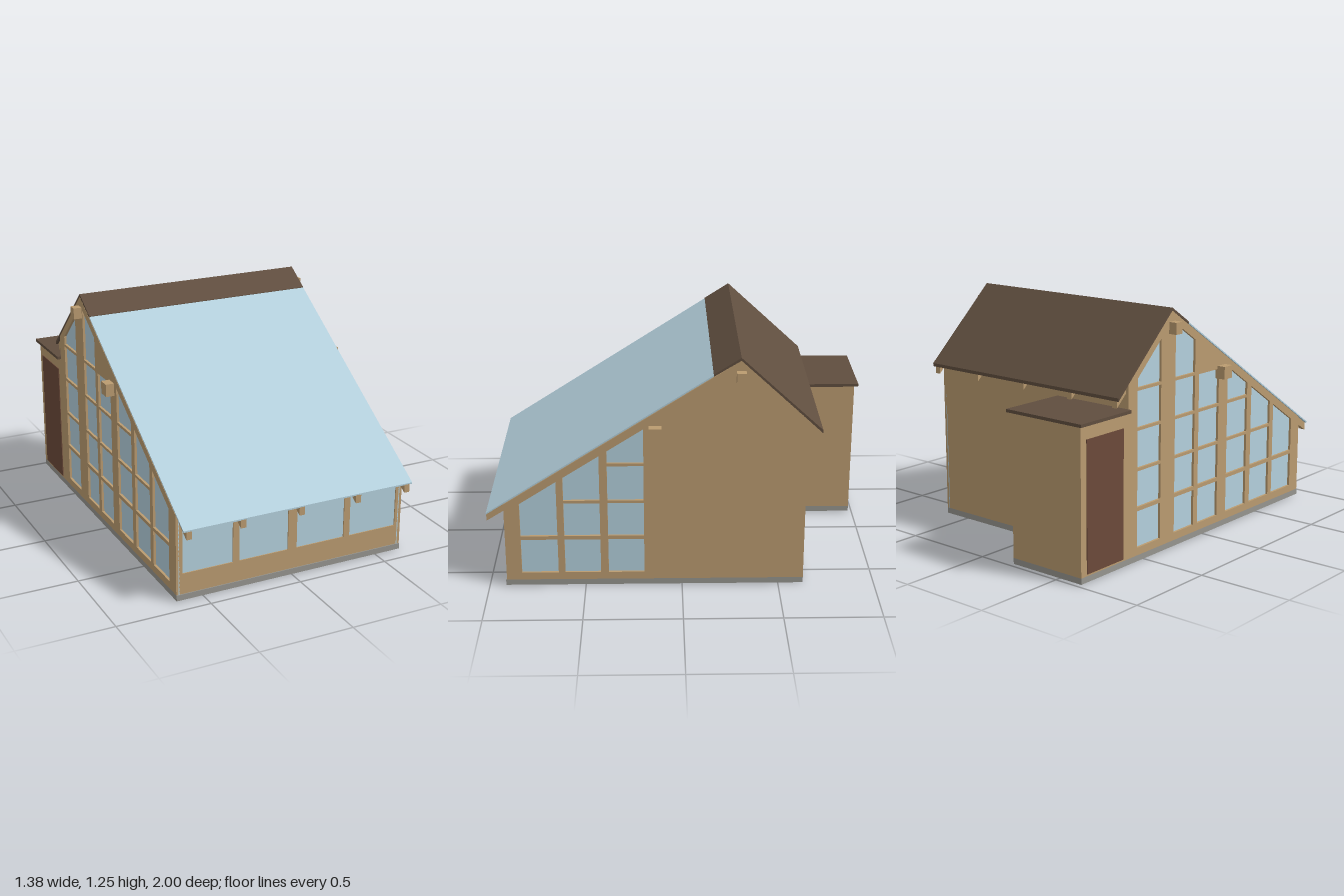
import * as THREE from 'three';

const mat = (name, color) => {
  const m = new THREE.MeshStandardMaterial({ color });
  m.name = name;
  return m;
};

export function createModel() {
  const wood = mat('timber', 0xba9b70);
  const glass = mat('glass', 0xb4d0dd);
  const brown = mat('roof brown', 0x604e3f);
  const stone = mat('stone', 0x96958f);
  const doorMat = mat('door brown', 0x6c4a3a);
  const model = new THREE.Group();
  model.name = 'greenhouse';

  const add = (name, geo, material) => {
    const m = new THREE.Mesh(geo, material);
    m.name = name;
    model.add(m);
    return m;
  };
  // box given by its limits
  const box = (name, material, x0, x1, y0, y1, z0, z1) => {
    const g = new THREE.BoxGeometry(x1 - x0, y1 - y0, z1 - z0);
    g.translate((x0 + x1) / 2, (y0 + y1) / 2, (z0 + z1) / 2);
    return add(name, g, material);
  };
  const toShape = (pts, holes = []) => {
    const s = new THREE.Shape(pts.map(p => new THREE.Vector2(...p)));
    for (const h of holes) s.holes.push(new THREE.Path(h.map(p => new THREE.Vector2(...p))));
    return s;
  };
  // (z, y) outline pushed along x
  const prism = (name, material, pts, x0, x1, holes) => {
    const g = new THREE.ExtrudeGeometry(toShape(pts, holes), { depth: x1 - x0, bevelEnabled: false });
    g.rotateY(-Math.PI / 2);
    g.translate(x1, 0, 0);
    return add(name, g, material);
  };

  // roof lines
  const ridgeZ = -0.29, ridgeY = 1.245, W = 0.645, base = 0.035;
  const roofY = z => z > ridgeZ ? ridgeY - (z - ridgeZ) * 0.64 : ridgeY - (ridgeZ - z) * 0.927;
  const at = (z, drop) => [z, roofY(z) - drop];

  // foundation
  box('foundationMain', stone, -W, W, 0.004, base, -0.63, 0.915);
  box('foundationAnnex', stone, -W, -0.2, 0.004, base, -0.98, -0.63);

  // gables with window openings; columns are [z0, z1]
  const rows = [[0.075, 0.265], [0.285, 0.47], [0.485, 0.675], [0.69, 0.875], [0.89, 1.08]];
  const panes = cols => {
    const out = [];
    for (const [z0, z1] of cols) {
      for (const [y0, y1] of rows) {
        const t0 = Math.min(y1, roofY(z0) - 0.06), t1 = Math.min(y1, roofY(z1) - 0.06);
        if (Math.min(t0, t1) < y0 + 0.04) continue;
        // a sloping pane runs on to the roof line
        const last = roofY(z0) - 0.06 < y1 || roofY(z1) - 0.06 < y1;
        out.push(last
          ? [[z0, y0], [z1, y0], [z1, roofY(z1) - 0.06], [z0, roofY(z0) - 0.06]]
          : [[z0, y0], [z1, y0], [z1, t1], [z0, t0]]);
      }
    }
    return out;
  };
  const frontCols = [[0.195, 0.38], [0.42, 0.605], [0.64, 0.83]];
  const backCols = [[-0.56, -0.375], [-0.26, -0.095], [-0.06, 0.115]];
  const outline = d => [[-0.63, base], [0.91, base], at(0.91, d), at(ridgeZ, d), at(-0.63, d)];
  prism('rightGable', wood, outline(0.012), W - 0.03, W, panes(frontCols));
  prism('leftGable', wood, outline(0.012), -W, -W + 0.03, panes([...frontCols, ...backCols]));
  for (const s of [-1, 1]) {
    const x = s * (W - 0.016);
    prism('gableGlass', glass, outline(0.03), x - 0.003, x + 0.003);
  }

  // front wall with four windows
  const openings = [[-0.61, -0.335], [-0.3, -0.025], [0.025, 0.3], [0.335, 0.61]].map(
    ([a, b]) => [[a, 0.145], [b, 0.145], [b, 0.4], [a, 0.4]]);
  const wall = new THREE.ExtrudeGeometry(
    toShape([[-W, base], [W, base], [W, 0.455], [-W, 0.455]], openings),
    { depth: 0.03, bevelEnabled: false });
  wall.translate(0, 0, 0.88);
  add('frontWall', wall, wood);
  box('frontGlass', glass, -0.62, 0.62, 0.13, 0.41, 0.898, 0.904);

  // back wall
  box('backWall', wood, -W, W, base, 0.905, -0.63, -0.6);

  // rafters with tails beyond both eaves
  for (const x of [-0.615, -0.325, 0, 0.325, 0.615]) {
    prism('rafter', wood, [at(1, 0.05), at(1, 0.006), at(ridgeZ, 0.008), at(-0.7, 0.012),
      at(-0.7, 0.055), at(ridgeZ, 0.065)], x - 0.015, x + 0.015);
  }

  // crossbeams poking out of both gables
  box('ridgeBeam', wood, -0.69, 0.69, 1.12, 1.18, -0.315, -0.267);
  box('middleBeam', wood, -0.69, 0.69, 0.825, 0.892, 0.102, 0.168);

  // glass front roof, brown cap and back roof
  prism('glassRoof', glass, [at(1, 0.008), at(1, 0), at(-0.155, 0), at(-0.155, 0.008)], -W, W);
  prism('brownRoof', brown, [at(-0.155, 0.008), at(-0.155, -0.003), at(ridgeZ, -0.003),
    at(-0.705, -0.003), at(-0.705, 0.014), at(ridgeZ, 0.012)], -W, W);

  // annex, its flat roof and the door
  box('annex', wood, -W, -0.2, base, 0.78, -0.98, -0.63);
  box('annexRoof', brown, -0.665, -0.185, 0.78, 0.796, -1, -0.63);
  box('door', doorMat, -W - 0.004, -W, 0.045, 0.71, -0.94, -0.67);

  // bed floors, kerbs, basin and pots showing on the underside
  box('sideBed', wood, 0.45, 0.57, 0.001, 0.005, -0.11, 0.85);
  box('frontBed', wood, -0.59, 0.45, 0.001, 0.005, 0.72, 0.85);
  box('backKerb', stone, -0.5, 0.43, 0.001, 0.005, -0.13, -0.1);
  box('sideKerb', stone, -0.53, -0.5, 0.001, 0.005, -0.13, 0.7);
  box('basinRim', wood, -0.325, 0.315, 0.002, 0.005, -0.065, 0.455);
  box('basin', brown, -0.315, 0.305, 0, 0.005, -0.055, 0.445);
  for (let i = 0; i < 12; i++) {
    const pot = add('pot', new THREE.CylinderGeometry(0.025, 0.025, 0.006, 8), brown);
    pot.position.set(0.32 - i * 0.066, 0.003, 0.6);
  }
  return model;
}
